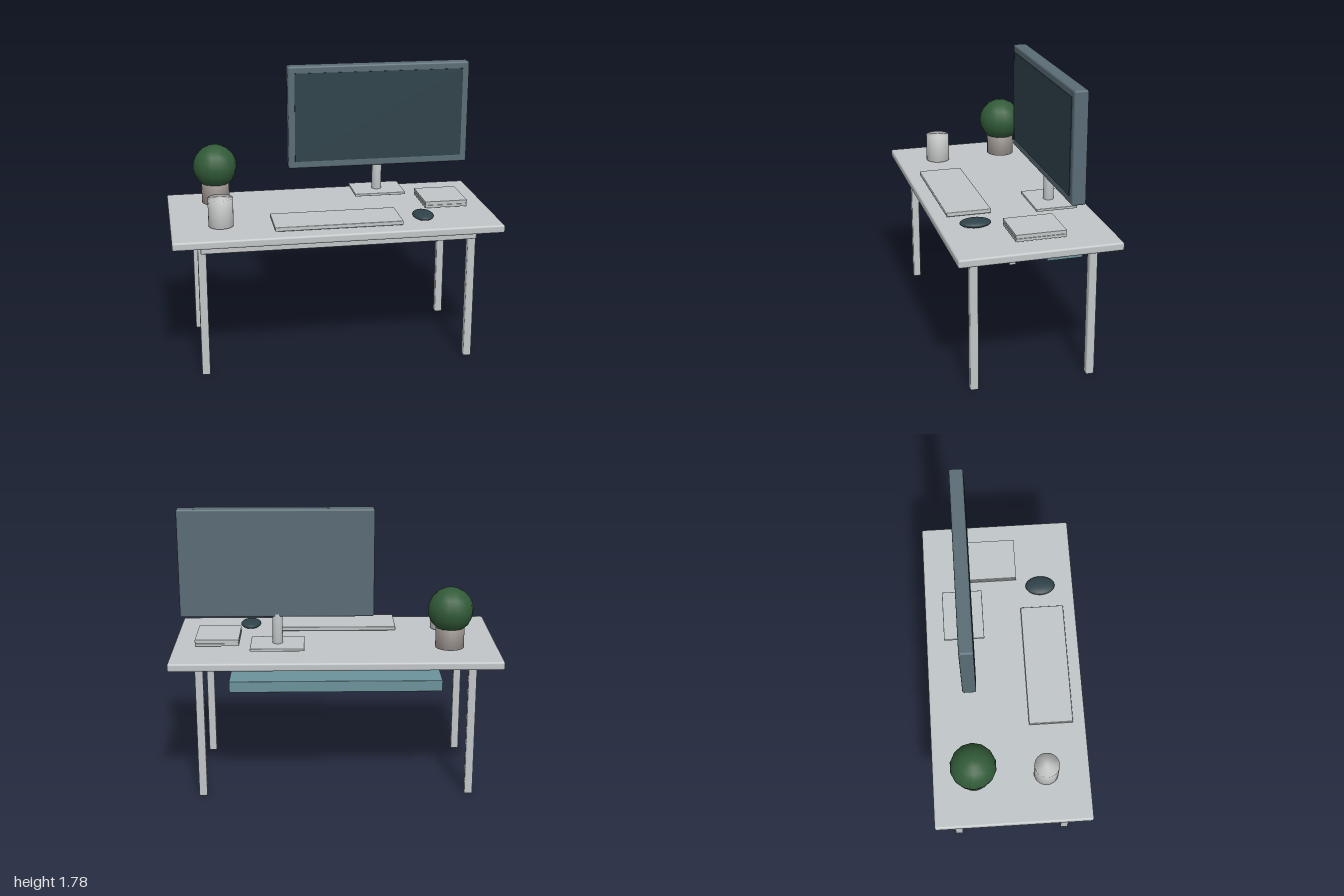
import * as THREE from 'three';
import { RoundedBoxGeometry } from 'three/addons/geometries/RoundedBoxGeometry.js';
import { mergeVertices } from 'three/addons/utils/BufferGeometryUtils.js';

const mat = (name, color) => {
  const m = new THREE.MeshStandardMaterial({ color });
  m.name = name;
  return m;
};

export function createModel() {
  const model = new THREE.Group();
  model.name = 'deskSetup';

  const lightGrey = mat('lightGrey', 0xc0c5c7);
  const white = mat('white', 0xcbcccc);
  const slate = mat('slate', 0x5a6c75);
  const screenDark = mat('screenDark', 0x2e4249);
  const teal = mat('teal', 0x6c929b);
  const green = mat('leafGreen', 0x315a38);
  const clay = mat('potGrey', 0xa09894);

  const add = (name, geometry, material, x, y, z) => {
    const mesh = new THREE.Mesh(geometry, material);
    mesh.name = name;
    mesh.position.set(x, y, z);
    model.add(mesh);
    return mesh;
  };

  // Box given by its limits on each axis, with an optional edge radius
  const box = (name, material, [x0, x1], [y0, y1], [z0, z1], r = 0) => {
    const size = [x1 - x0, y1 - y0, z1 - z0];
    const g = r ? new RoundedBoxGeometry(...size, 2, r) : new THREE.BoxGeometry(...size);
    return add(name, g, material, (x0 + x1) / 2, (y0 + y1) / 2, (z0 + z1) / 2);
  };

  // Closed cylinder whose caps and wall share normals
  const softCylinder = (name, material, r, [y0, y1], x, z) => {
    let g = new THREE.CylinderGeometry(r, r, y1 - y0, 24);
    g.deleteAttribute('uv');
    g.deleteAttribute('normal');
    g = mergeVertices(g);
    g.computeVertexNormals();
    return add(name, g, material, x, (y0 + y1) / 2, z);
  };

  // Desk: top, four legs, front rail and rear cable tray
  box('desktop', lightGrey, [-1, 1], [0.85, 0.9], [-0.48, 0.48], 0.012);
  for (const sx of [-1, 1]) {
    for (const sz of [-1, 1]) {
      const x = sx * 0.824, z = sz * 0.355;
      box('leg', lightGrey, [x - 0.025, x + 0.025], [0, 0.826], [z - 0.025, z + 0.025], 0.008);
    }
  }
  box('frontRail', lightGrey, [-0.834, 0.834], [0.808, 0.842], [0.41, 0.438], 0.004);
  box('cableTray', teal, [-0.647, 0.647], [0.675, 0.745], [-0.36, -0.14], 0.003);

  // Monitor on its stand
  box('monitorCase', slate, [-0.23, 0.935], [1.122, 1.778], [-0.266, -0.182], 0.012);
  box('monitorScreen', screenDark, [-0.188, 0.893], [1.168, 1.735], [-0.186, -0.179]);
  softCylinder('monitorNeck', lightGrey, 0.031, [0.945, 1.14], 0.352, -0.237);
  box('monitorBase', lightGrey, [0.19, 0.516], [0.938, 0.954], [-0.366, -0.112], 0.003);

  // Keyboard and mouse
  box('keyboard', lightGrey, [-0.39, 0.388], [0.91, 0.936], [0.13, 0.402], 0.005);
  const mouse = add('mouse', new THREE.SphereGeometry(1, 20, 12), screenDark, 0.54, 0.922, 0.267);
  mouse.scale.set(0.065, 0.024, 0.094);

  // Notebook: two covers around slightly inset pages
  box('notebookCover', lightGrey, [0.593, 0.862], [0.913, 0.929], [-0.183, 0.116]);
  box('notebookPages', lightGrey, [0.598, 0.857], [0.929, 0.937], [-0.178, 0.111]);
  box('notebookCover', lightGrey, [0.593, 0.862], [0.937, 0.953], [-0.183, 0.116]);

  // Cup and potted plant
  softCylinder('cup', white, 0.076, [0.905, 1.08], -0.696, 0.213);
  softCylinder('plantPot', clay, 0.088, [0.918, 1.07], -0.696, -0.226);
  add('foliage', new THREE.SphereGeometry(0.139, 14, 10), green, -0.696, 1.152, -0.226);

  return model;
}
